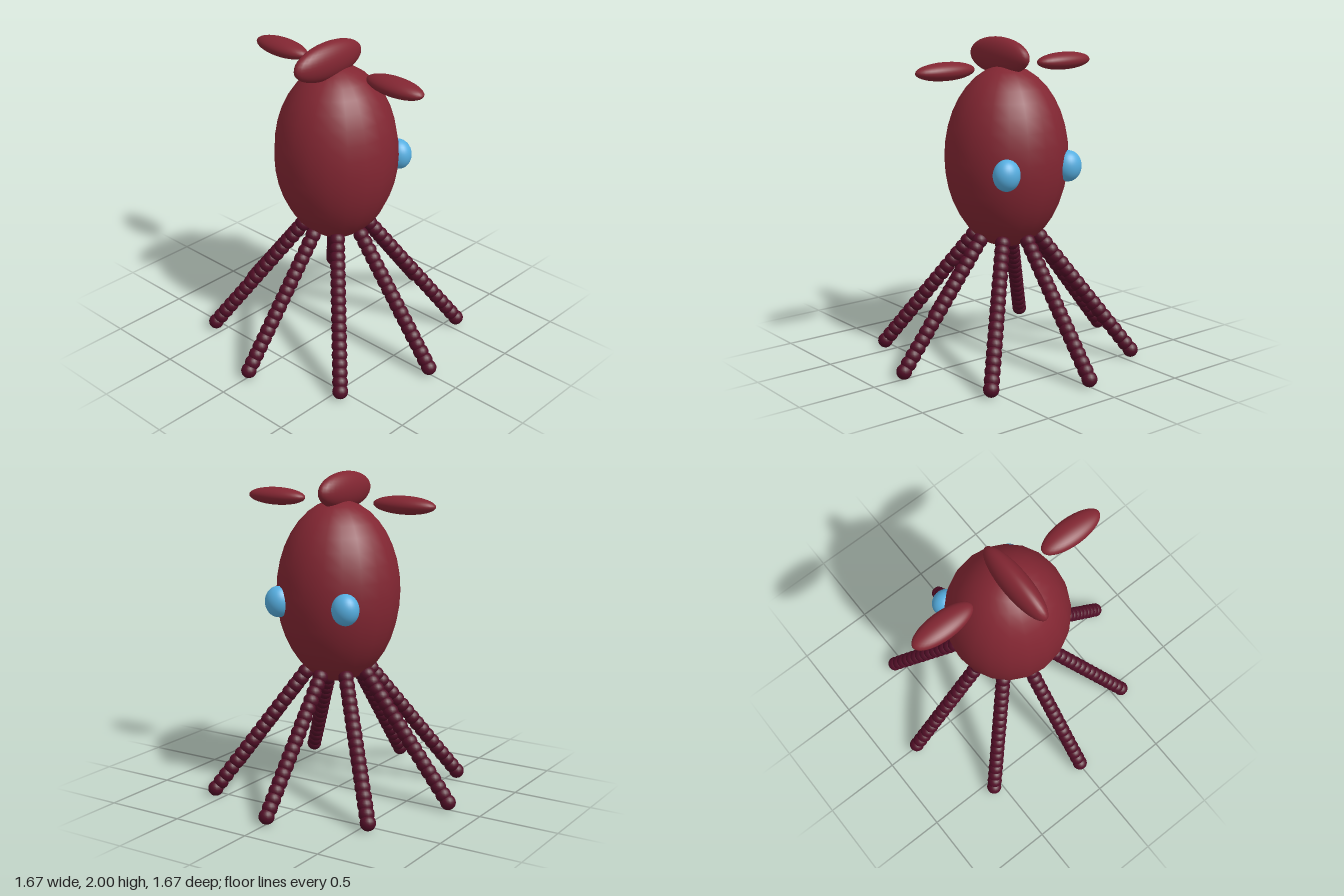
import * as THREE from 'three';

const material = (name, color) => {
  const m = new THREE.MeshStandardMaterial({ color });
  m.name = name;
  return m;
};

// Smooth ellipsoid with given centre and radii
function ellipsoid(name, mat, centre, radii, w = 32, h = 20) {
  const geo = new THREE.SphereGeometry(1, w, h);
  geo.scale(...radii);
  const mesh = new THREE.Mesh(geo, mat);
  mesh.name = name;
  mesh.position.set(...centre);
  return mesh;
}

export function createModel() {
  const skin = material('mantle red', 0x822632);
  const dark = material('tentacle maroon', 0x500e26);
  const blue = material('eye blue', 0x56aee0);

  const model = new THREE.Group();
  model.name = 'squid';

  // Egg-shaped mantle and the crest on top
  model.add(ellipsoid('mantle', skin, [0, 1.27, 0], [0.383, 0.565, 0.383], 20, 18));
  model.add(ellipsoid('crest', skin, [-0.07, 1.885, 0], [0.275, 0.115, 0.078]));

  // Mirrored side fins and eyes
  for (const [side, s] of [['left', -1], ['right', 1]]) {
    model.add(ellipsoid(`${side}Fin`, skin, [0, 1.828, s * 0.458], [0.083, 0.055, 0.207]));
    model.add(ellipsoid(`${side}Eye`, blue, [0.303, 1.227, s * 0.24], [0.077, 0.096, 0.086]));
  }

  // Eight straight tentacles, each a chain of overlapping beads
  const beads = 18, beadRadius = 0.048;
  const beadGeo = new THREE.SphereGeometry(beadRadius, 16, 12);
  for (let i = 0; i < 8; i++) {
    const tentacle = new THREE.Group();
    tentacle.name = `tentacle${i + 1}`;
    for (let j = 0; j < beads; j++) {
      const t = j / (beads - 1);
      const bead = new THREE.Mesh(beadGeo, dark);
      bead.name = 'bead';
      bead.position.set(THREE.MathUtils.lerp(0.21, 0.785, t), THREE.MathUtils.lerp(0.768, beadRadius, t), 0);
      tentacle.add(bead);
    }
    tentacle.rotation.y = (i * Math.PI) / 4;
    model.add(tentacle);
  }
  return model;
}
